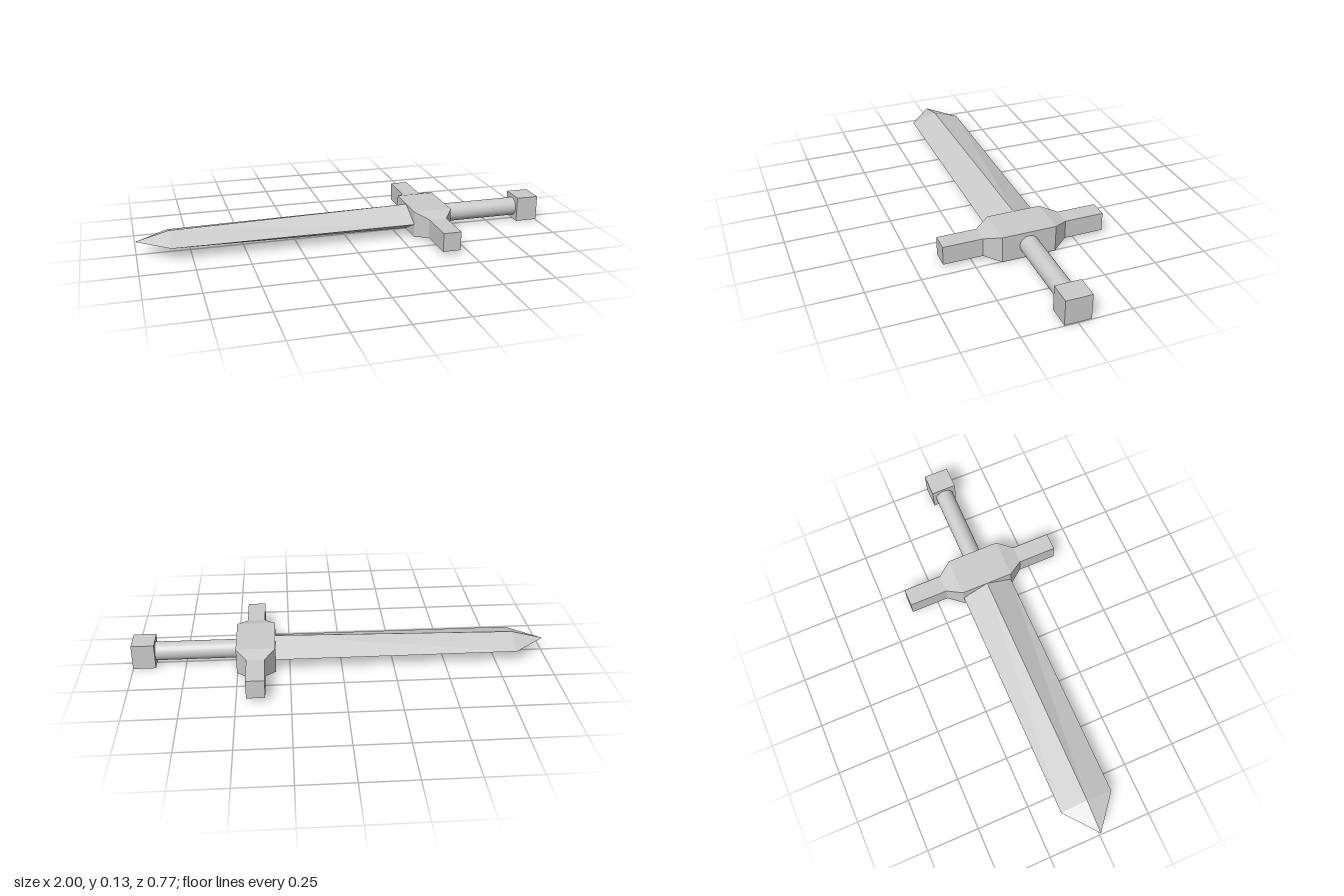
import * as THREE from 'three';

const MID_Y = 0.065;
const SQUARE = [[1, 1], [-1, 1], [-1, -1], [1, -1]];
const DIAMOND = [[1, 0], [0, 1], [-1, 0], [0, -1]];

// Lofts a four-sided profile along +z through stations [z, halfWidth, halfHeight]
function loft(profile, stations) {
  const rings = stations.map(([z, w, h]) => profile.map(([x, y]) => [x * w, y * h, z]));
  const pos = [];
  const quad = (a, b, c, d) => pos.push(...a, ...b, ...c, ...a, ...c, ...d);
  for (let i = 0; i < rings.length - 1; i++) {
    const p = rings[i], q = rings[i + 1];
    for (let j = 0; j < 4; j++) {
      const k = (j + 1) % 4;
      quad(p[j], p[k], q[k], q[j]);
    }
  }
  quad(...rings[0].slice().reverse());
  quad(...rings[rings.length - 1]);
  const geo = new THREE.BufferGeometry();
  geo.setAttribute('position', new THREE.Float32BufferAttribute(pos, 3));
  geo.computeVertexNormals();
  return geo;
}

export function createModel() {
  const sword = new THREE.Group();
  sword.name = 'sword';
  const flat = new THREE.MeshStandardMaterial({ color: 0xcccccc, flatShading: true });
  const smooth = new THREE.MeshStandardMaterial({ color: 0xcccccc });

  const add = (name, geo, x, material = flat) => {
    const mesh = new THREE.Mesh(geo, material);
    mesh.name = name;
    mesh.position.set(x, MID_Y, 0);
    sword.add(mesh);
  };

  // Blade: diamond section thinning towards a sharp tip at -x
  const blade = loft(DIAMOND, [[-0.32, 0.127, 0.063], [0.845, 0.127, 0.041], [1, 0.0005, 0.0005]]);
  blade.rotateY(-Math.PI / 2);
  add('blade', blade, 0);

  // Crossguard: thick block tapering into two slim arms
  add('crossguard', loft(SQUARE, [
    [-0.386, 0.043, 0.045], [-0.199, 0.043, 0.045], [-0.128, 0.093, 0.064],
    [0.128, 0.093, 0.064], [0.199, 0.043, 0.045], [0.386, 0.043, 0.045],
  ]), 0.41);

  // Round grip
  const grip = new THREE.CylinderGeometry(0.045, 0.045, 0.42, 32);
  grip.rotateZ(Math.PI / 2);
  add('grip', grip, 0.70, smooth);

  // Block pommel
  add('pommel', new THREE.BoxGeometry(0.108, 0.122, 0.122), 0.946);

  return sword;
}
